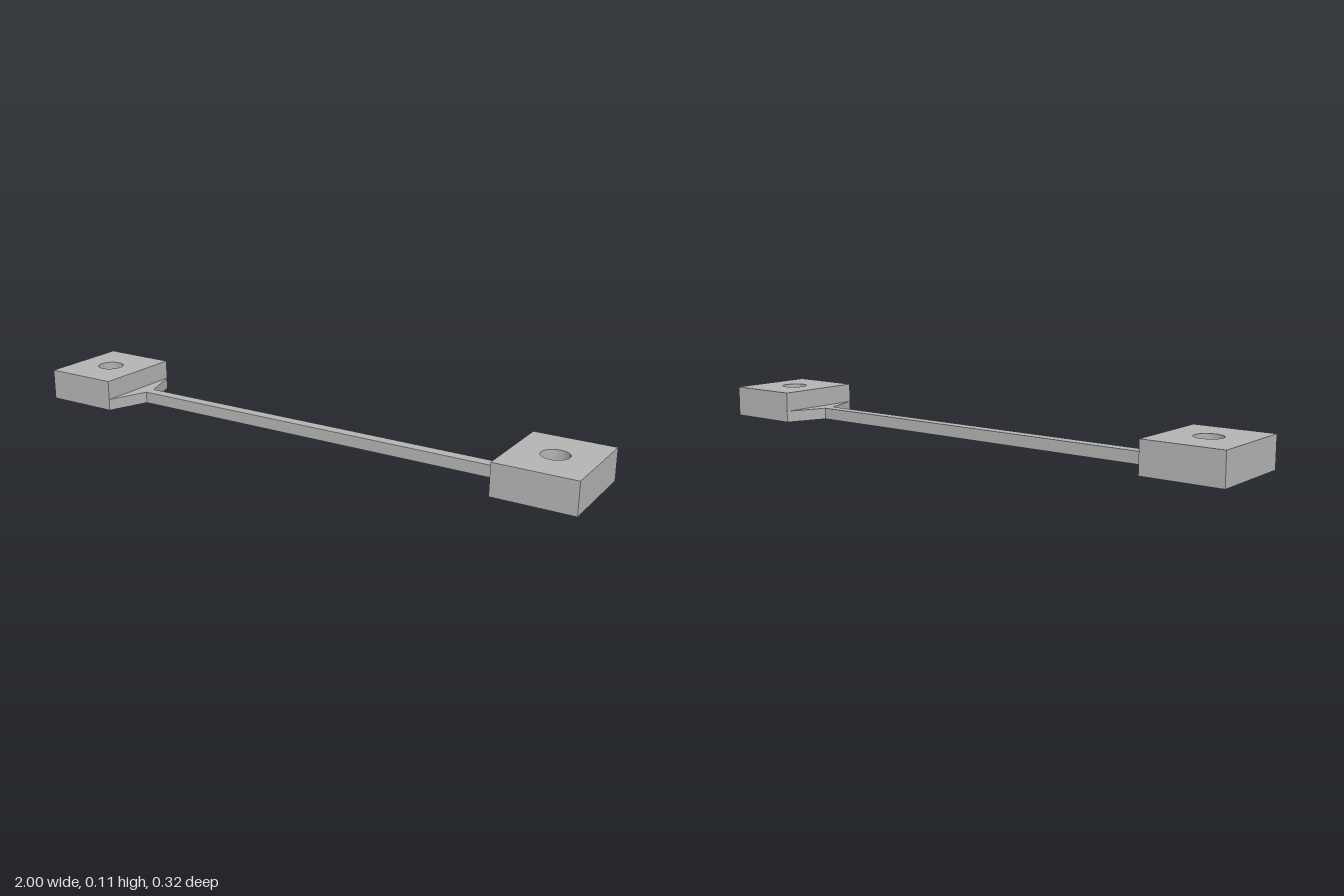
import * as THREE from 'three';
import { toCreasedNormals } from 'three/addons/utils/BufferGeometryUtils.js';

// Extrude a plan outline upwards from y = 0
function slab(shape, height) {
  const geo = new THREE.ExtrudeGeometry(shape, { depth: height, bevelEnabled: false, curveSegments: 24 });
  geo.rotateX(-Math.PI / 2);
  return toCreasedNormals(geo, Math.PI / 6);
}

export function createModel() {
  const group = new THREE.Group();
  const grey = new THREE.MeshStandardMaterial({ color: 0xb3b3b3 });
  grey.name = 'grey';

  const inner = 0.733, outer = 1, halfDepth = 0.16;
  const neck = 0.68, halfBar = 0.02;

  // Thin bar that flares out to the blocks at both ends
  const outline = [
    [-inner, -halfDepth], [-neck, -halfBar], [neck, -halfBar], [inner, -halfDepth],
    [inner, halfDepth], [neck, halfBar], [-neck, halfBar], [-inner, halfDepth],
  ];
  const barShape = new THREE.Shape(outline.map(([x, y]) => new THREE.Vector2(x, y)));
  const bar = new THREE.Mesh(slab(barShape, 0.04), grey);
  bar.name = 'connectingBar';
  group.add(bar);

  // Square end blocks, each with a round through hole
  const half = (outer - inner) / 2;
  const blockShape = new THREE.Shape([
    new THREE.Vector2(-half, -halfDepth), new THREE.Vector2(half, -halfDepth),
    new THREE.Vector2(half, halfDepth), new THREE.Vector2(-half, halfDepth),
  ]);
  const hole = new THREE.Path();
  hole.absarc(0, 0, 0.045, 0, Math.PI * 2, true);
  blockShape.holes.push(hole);
  const blockGeo = slab(blockShape, 0.107);

  for (const side of [1, -1]) {
    const block = new THREE.Mesh(blockGeo, grey);
    block.name = side > 0 ? 'leftEndBlock' : 'rightEndBlock';
    block.position.x = side * (inner + half);
    group.add(block);
  }
  return group;
}
